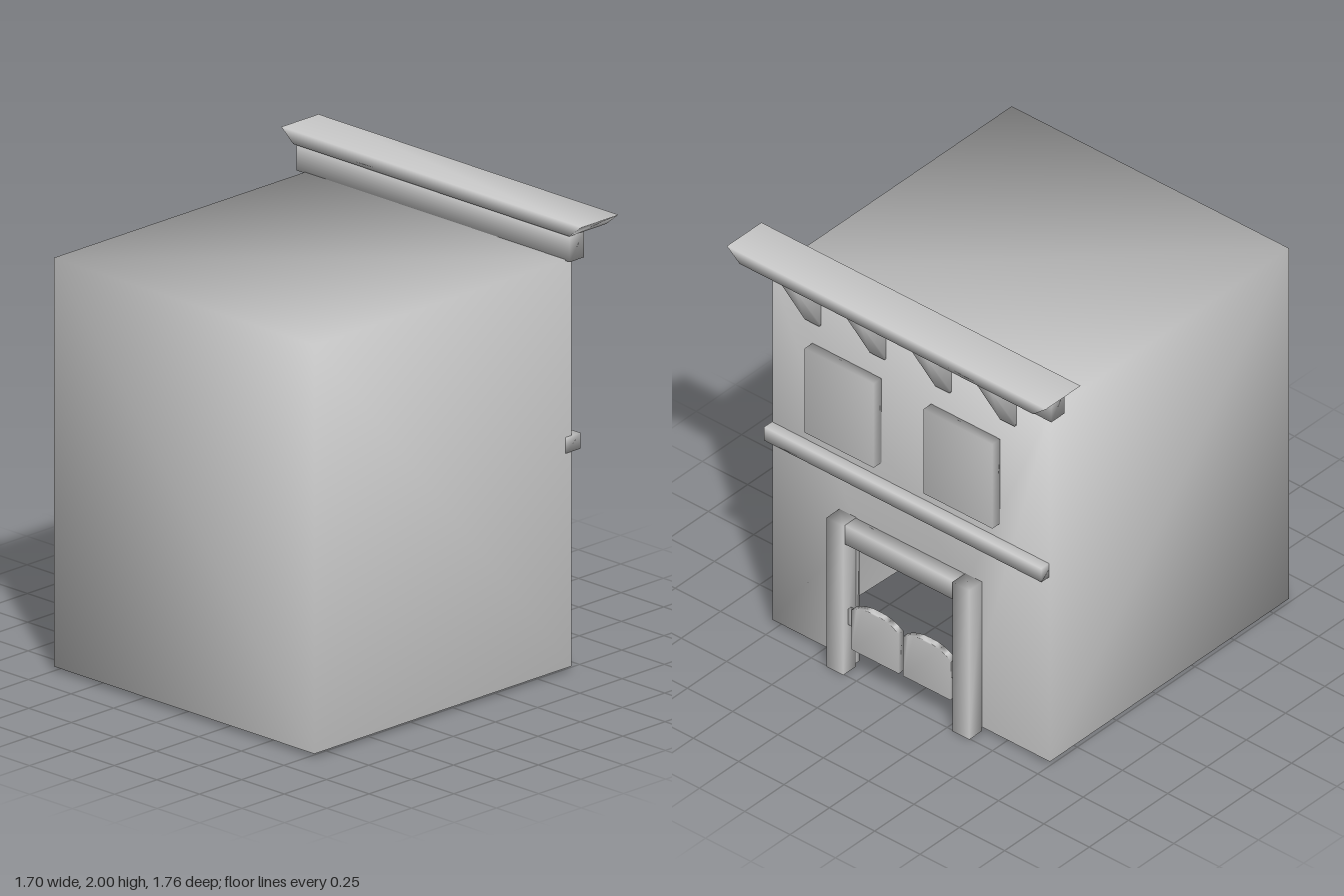
import * as THREE from 'three';
import { mergeVertices } from 'three/addons/utils/BufferGeometryUtils.js';

const material = new THREE.MeshStandardMaterial({ color: 0xcccccc });

// Weld the corners so the shading runs smoothly over the edges
function weld(geometry) {
  geometry.deleteAttribute('normal');
  geometry.deleteAttribute('uv');
  const welded = mergeVertices(geometry, 1e-4);
  welded.computeVertexNormals();
  return welded;
}

function part(name, geometry) {
  const mesh = new THREE.Mesh(geometry, material);
  mesh.name = name;
  return mesh;
}

// Box given by its limits on each axis
function block(name, [x0, x1], [y0, y1], [z0, z1]) {
  const g = new THREE.BoxGeometry(x1 - x0, y1 - y0, z1 - z0);
  g.translate((x0 + x1) / 2, (y0 + y1) / 2, (z0 + z1) / 2);
  return part(name, weld(g));
}

// Hollow building, open underneath, with a doorway in the facade (+x)
function buildingShell() {
  const points = [];
  const arch = ([xL, zL], [xR, zR], top) =>
    points.push(xL, 0.02, zL, xL, top, zL, xR, top, zR, xR, 0.02, zR);
  arch([0.673, 0.78], [0.673, -0.75], 1.83);   // 0-3 outer front
  arch([-0.85, 0.78], [-0.85, -0.75], 1.83);   // 4-7 outer back
  arch([0.673, 0.315], [0.673, -0.28], 0.7);   // 8-11 doorway outside
  arch([0.655, 0.315], [0.655, -0.28], 0.7);   // 12-15 doorway inside
  arch([0.655, 0.63], [0.655, -0.31], 1.68);   // 16-19 room front
  arch([-0.68, 0.58], [-0.55, -0.3], 1.68);    // 20-23 room back
  const quads = [
    [0, 8, 9, 1], [1, 9, 10, 2], [2, 10, 11, 3],                      // facade
    [1, 2, 6, 5], [0, 1, 5, 4], [3, 7, 6, 2], [4, 5, 6, 7],           // roof, walls
    [0, 4, 20, 16], [4, 7, 23, 20], [7, 3, 19, 23],                   // underside rim
    [0, 16, 12, 8], [11, 15, 19, 3],
    [8, 12, 13, 9], [9, 13, 14, 10], [10, 14, 15, 11],                // door jambs
    [16, 17, 13, 12], [17, 18, 14, 13], [18, 19, 15, 14],             // room
    [21, 22, 18, 17], [20, 21, 17, 16], [18, 22, 23, 19], [23, 22, 21, 20],
  ];
  const g = new THREE.BufferGeometry();
  g.setAttribute('position', new THREE.Float32BufferAttribute(points, 3));
  g.setIndex(quads.flatMap(([a, b, c, d]) => [a, b, c, a, c, d]));
  g.computeVertexNormals();
  return part('buildingShell', g);
}

// Roof slab whose ends slope inwards towards the bottom
function cornice() {
  const s = new THREE.Shape([[-0.88, 2], [-0.81, 1.942], [0.81, 1.942], [0.88, 2]]
    .map(([u, v]) => new THREE.Vector2(u, v)));
  const g = new THREE.ExtrudeGeometry(s, { depth: 0.22, bevelEnabled: false });
  g.rotateY(Math.PI / 2).translate(0.628, 0, 0);
  return part('cornice', weld(g));
}

// Triangular bracket below the cornice
function bracket(z) {
  const s = new THREE.Shape([[0.673, 1.67], [0.685, 1.67], [0.84, 1.942], [0.673, 1.942]]
    .map(([u, v]) => new THREE.Vector2(u, v)));
  const g = new THREE.ExtrudeGeometry(s, { depth: 0.08, bevelEnabled: false });
  g.translate(0, 0, z - 0.04);
  return part('corniceBracket', weld(g));
}

// Swinging half door with an arched top
function swingDoor(z) {
  const s = new THREE.Shape();
  s.moveTo(-0.13, 0.13);
  s.lineTo(0.13, 0.13);
  s.lineTo(0.13, 0.335);
  s.quadraticCurveTo(0.075, 0.375, 0, 0.372);
  s.quadraticCurveTo(-0.075, 0.375, -0.13, 0.335);
  const g = new THREE.ExtrudeGeometry(s, { depth: 0.03, bevelEnabled: false, curveSegments: 4 });
  g.rotateY(Math.PI / 2).translate(0.7, 0, z);
  return part('swingDoor', weld(g));
}

export function createModel() {
  const model = new THREE.Group();
  model.name = 'building';
  model.add(buildingShell());

  // Roof edge
  model.add(cornice(), block('frieze', [0.637, 0.722], [1.825, 1.942], [-0.8, 0.805]));
  for (const z of [0.552, 0.193, -0.167, -0.525]) model.add(bracket(z));

  // Windows and ledge
  for (const z of [0.37, -0.285])
    model.add(block('window', [0.66, 0.722], [1.12, 1.555], [z - 0.19, z + 0.19]));
  model.add(block('ledge', [0.637, 0.722], [0.972, 1.042], [-0.745, 0.783]));

  // Door frame
  for (const z of [0.365, -0.33])
    model.add(block('doorPost', [0.673, 0.755], [0, 0.77], [z - 0.046, z + 0.046]));
  model.add(block('doorLintel', [0.675, 0.745], [0.672, 0.768], [-0.295, 0.325]));

  // Swing doors with hinges
  model.add(swingDoor(0.165), swingDoor(-0.12));
  for (const z of [[0.29, 0.325], [-0.29, -0.25]])
    model.add(block('hinge', [0.705, 0.725], [0.245, 0.325], z));

  return model;
}
